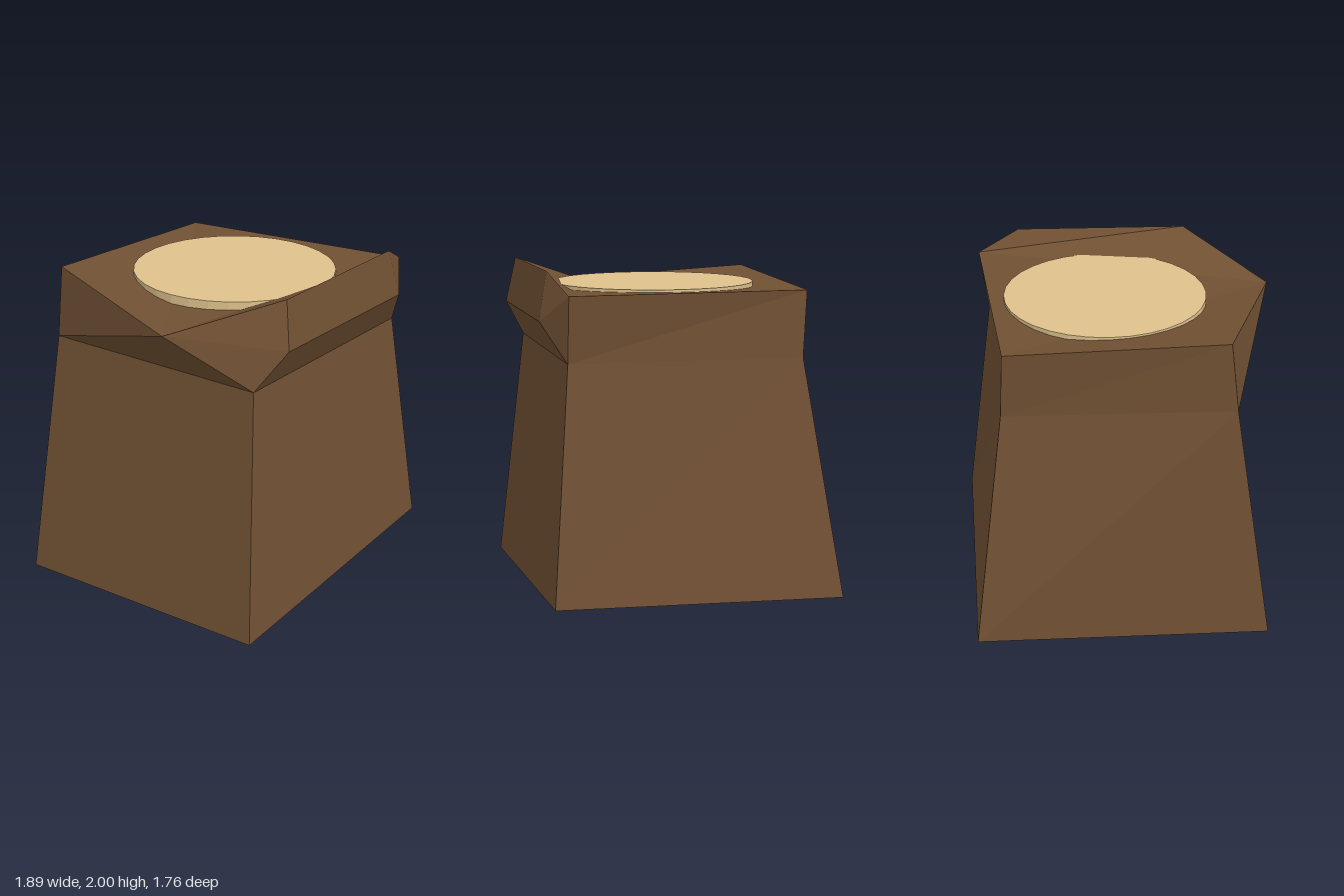
import * as THREE from 'three';

// Crooked four-sided rings, each ordered front -x, front +x, back +x, back -x
const base = [[-0.88, 0.04, 0.88], [0.94, 0.15, 0.86], [0.85, 0.065, -0.88], [-0.9, 0, -0.77]];
const neck = [[-0.67, 1.5, 0.74], [0.765, 1.5, 0.74], [0.67, 1.475, -0.67], [-0.67, 1.49, -0.7]];
const rim = [[-0.95, 1.82, 0.33], [0.815, 1.88, 0.74], [0.65, 1.865, -0.695], [-0.62, 1.91, -0.7]];

// Overhanging front lip: lower and upper edge, -x end first
const lipLow = [[-0.525, 1.725, 0.87], [0.615, 1.725, 0.87]];
const lipTop = [[-0.475, 2, 0.815], [0.565, 2, 0.815]];

// Flat-faced mesh from triangles and quads (a quad is split from its first to its third corner)
function faceted(name, faces, material) {
  const positions = [];
  for (const f of faces) {
    for (let i = 1; i < f.length - 1; i++) positions.push(...f[0], ...f[i], ...f[i + 1]);
  }
  const geometry = new THREE.BufferGeometry();
  geometry.setAttribute('position', new THREE.Float32BufferAttribute(positions, 3));
  geometry.computeVertexNormals();
  const mesh = new THREE.Mesh(geometry, material);
  mesh.name = name;
  return mesh;
}

// Wall between two rings on side i
const wall = (low, high, i) => {
  const j = (i + 1) % 4;
  return [low[i], low[j], high[j], high[i]];
};

export function createModel() {
  const group = new THREE.Group();
  group.name = 'stump';
  const bark = new THREE.MeshStandardMaterial({ color: 0x705033, flatShading: true });
  const wood = new THREE.MeshStandardMaterial({ color: 0xdec18c, flatShading: true });

  // Tapered trunk with its underside
  const trunk = [[...base].reverse()];
  for (let i = 0; i < 4; i++) trunk.push(wall(base, neck, i));
  group.add(faceted('trunk', trunk, bark));

  // Upper band on the sides and back, and the top
  const crown = [rim];
  for (let i = 1; i < 4; i++) crown.push(wall(neck, rim, i));
  group.add(faceted('crown', crown, bark));

  // Front lip: underside, front, sloped top and the two cheeks
  group.add(faceted('frontLip', [
    [neck[0], neck[1], lipLow[1], lipLow[0]],
    [lipLow[0], lipLow[1], lipTop[1], lipTop[0]],
    [lipTop[0], lipTop[1], rim[1], rim[0]],
    [neck[0], lipLow[0], rim[0]],
    [lipLow[0], lipTop[0], rim[0]],
    [neck[1], rim[1], lipLow[1]],
    [lipLow[1], rim[1], lipTop[1]],
  ], bark));

  // Pale round cut surface
  const disc = new THREE.Mesh(new THREE.CylinderGeometry(0.6, 0.6, 0.08, 32), wood);
  disc.name = 'cutSurface';
  disc.position.set(0.05, 1.845, 0.07);
  group.add(disc);

  return group;
}
